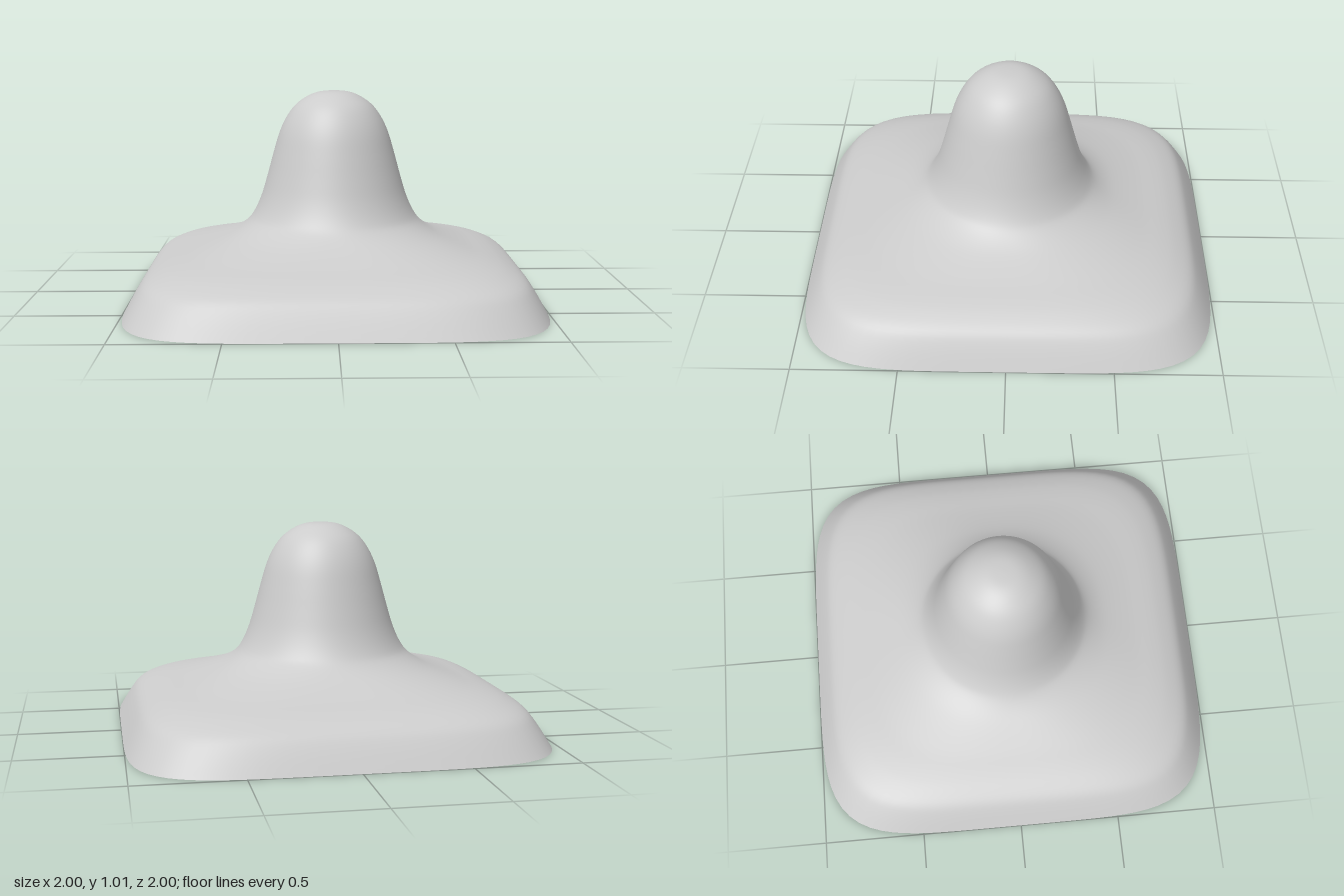
import * as THREE from 'three';
import { mergeVertices } from 'three/addons/utils/BufferGeometryUtils.js';

// Half-width and height of the shell, from the rim up to the crown
const PROFILE = [
  [1, 0], [0.945, 0.1], [0.9, 0.16], [0.83, 0.2], [0.76, 0.225], [0.67, 0.25], [0.57, 0.285],
  [0.495, 0.32], [0.435, 0.365], [0.395, 0.42], [0.36, 0.5], [0.33, 0.6], [0.3, 0.71],
  [0.27, 0.81], [0.235, 0.885], [0.19, 0.945], [0.13, 0.988], [0.07, 1.01], [0, 1.015],
];

export function createModel() {
  const group = new THREE.Group();
  const curve = new THREE.SplineCurve(PROFILE.map(([x, y]) => new THREE.Vector2(x, y)));
  const points = curve.getPoints(72);
  points[72].x = 0;

  let shell = new THREE.LatheGeometry(points, 128);
  const pos = shell.attributes.position;

  // Push the round rings out to rounded squares, from the neck to the rim
  for (let i = 0; i < pos.count; i++) {
    const x = pos.getX(i), z = pos.getZ(i);
    const d = Math.hypot(x, z);
    if (d < 0.42) continue;
    const n = 2 + 3.15 * Math.min(1, (d - 0.42) / 0.58);
    const k = Math.pow(Math.abs(x / d) ** n + Math.abs(z / d) ** n, -1 / n);
    pos.setX(i, x * k);
    pos.setZ(i, z * k);
  }

  // Weld the seam so the shading is smooth all round
  shell.deleteAttribute('uv');
  shell.deleteAttribute('normal');
  shell = mergeVertices(shell, 1e-5);
  shell.computeVertexNormals();

  // Thin open shell: square skirt flowing into a domed crown
  const material = new THREE.MeshStandardMaterial({ color: 0xcccccc, side: THREE.DoubleSide });
  const mesh = new THREE.Mesh(shell, material);
  mesh.name = 'domedShell';
  group.add(mesh);
  return group;
}
